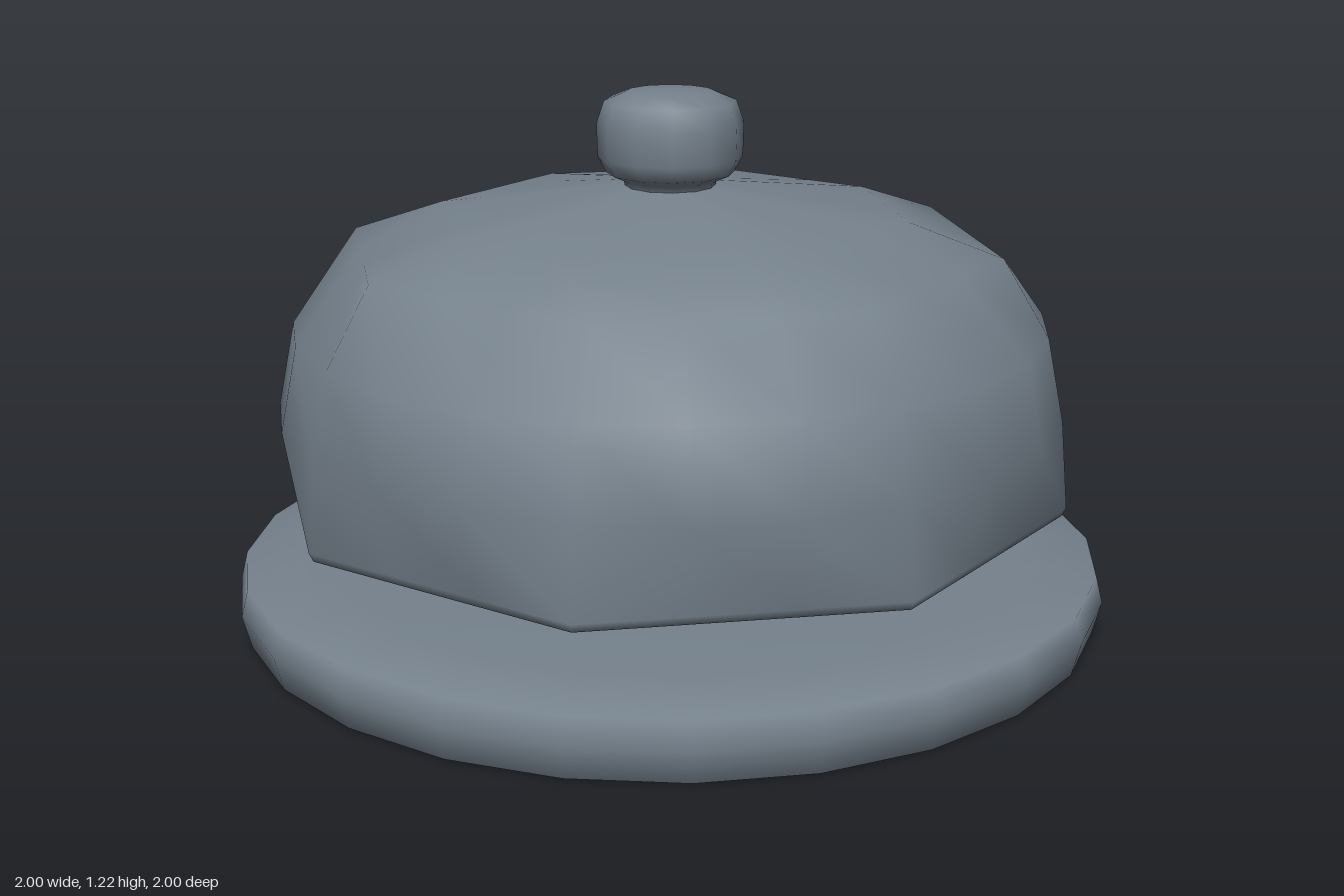
import * as THREE from 'three';
import { mergeVertices } from 'three/addons/utils/BufferGeometryUtils.js';

const SEGMENTS = 24;

// Revolve a profile of [radius, height, octagonal?]; octagonal rings get straight sides.
function turned(name, profile, material, segments = SEGMENTS) {
  const points = profile.map(([r, y]) => new THREE.Vector2(r, y));
  let geometry = new THREE.LatheGeometry(points, segments);
  const pos = geometry.attributes.position;
  const step = Math.PI / 4;
  for (let i = 0; i < pos.count; i++) {
    if (!profile[i % profile.length][2]) continue;
    const angle = Math.atan2(pos.getX(i), pos.getZ(i)) + Math.PI * 2;
    const offset = (angle % step) - step / 2;
    const k = Math.cos(step / 2) / Math.cos(offset);
    pos.setX(i, pos.getX(i) * k);
    pos.setZ(i, pos.getZ(i) * k);
  }
  geometry.deleteAttribute('normal');
  geometry.deleteAttribute('uv');
  geometry = mergeVertices(geometry, 1e-4);
  geometry.computeVertexNormals();
  const mesh = new THREE.Mesh(geometry, material);
  mesh.name = name;
  return mesh;
}

export function createModel() {
  const metal = new THREE.MeshStandardMaterial({ color: 0x75818c });
  metal.name = 'blue grey metal';
  const dark = new THREE.MeshStandardMaterial({ color: 0x454d4c });
  dark.name = 'dark metal';

  const model = new THREE.Group();
  model.name = 'counterBell';

  // Round foot plate with a bulging edge
  model.add(turned('base', [
    [0, 0], [0.95, 0], [0.98, 0.005], [1.0, 0.08], [0.985, 0.14], [0.8, 0.158], [0, 0.158],
  ], metal));

  // Post that carries the bell
  model.add(turned('post', [[0.13, 0.155], [0.11, 0.29], [0.07, 0.6], [0.07, 0.97]], dark, 12));

  // Hollow bell: inner wall downwards, rim, outer wall upwards
  model.add(turned('bell', [
    [0, 0.96], [0.5, 0.9, true], [0.7, 0.83, true], [0.81, 0.68], [0.85, 0.5], [0.88, 0.29, true],
    [0.9, 0.28, true], [0.91, 0.3, true], [0.893, 0.5], [0.855, 0.69],
    [0.75, 0.865, true], [0.54, 0.937, true], [0.1, 1.0], [0, 1.0],
  ], metal));

  // Push button on its short neck
  model.add(turned('button', [
    [0.1, 0.99], [0.105, 1.012], [0.145, 1.03], [0.163, 1.065], [0.165, 1.14],
    [0.148, 1.19], [0.1, 1.21], [0, 1.216],
  ], metal, 12));

  return model;
}
